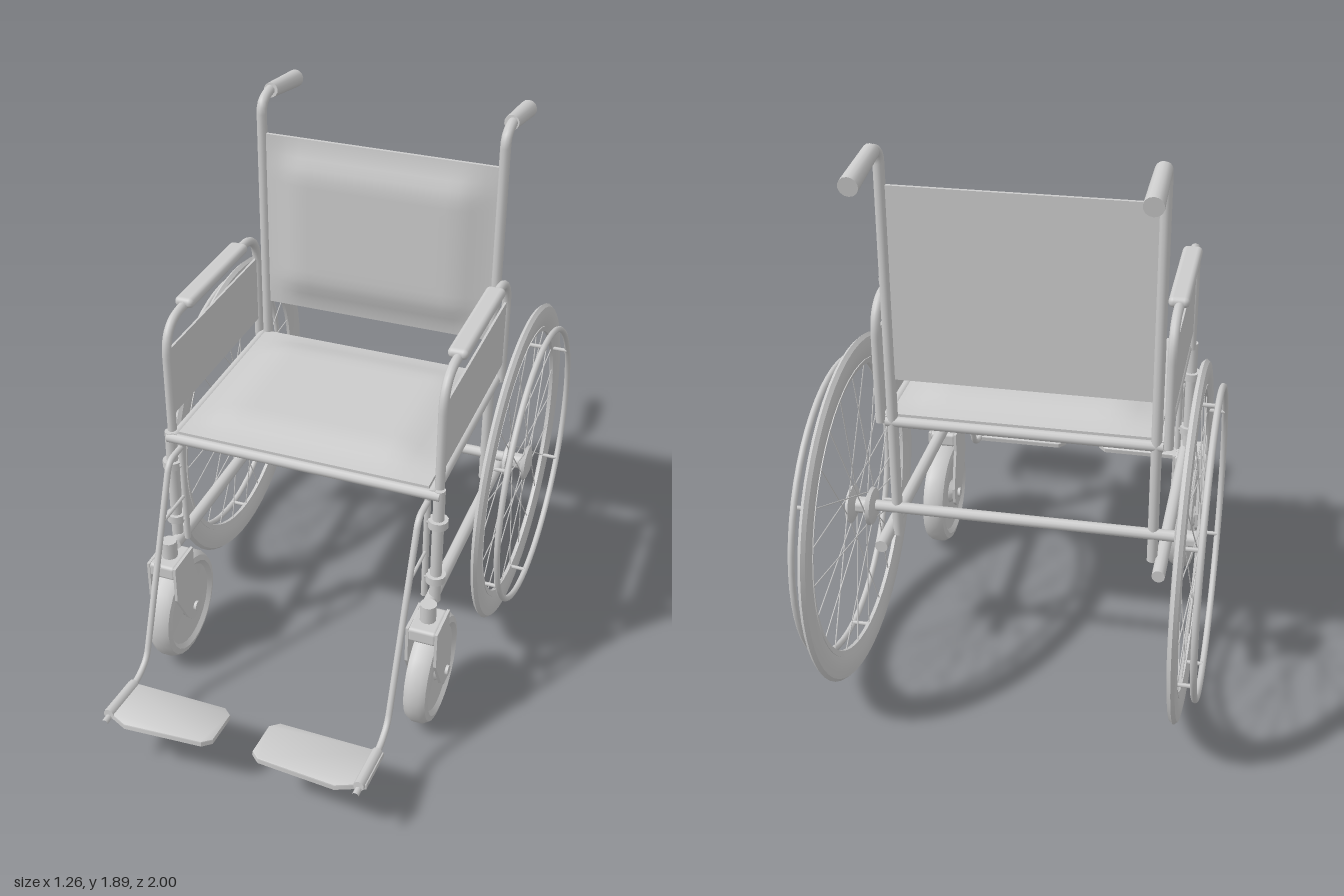
import * as THREE from 'three';
import { RoundedBoxGeometry } from 'three/addons/geometries/RoundedBoxGeometry.js';
import { toCreasedNormals } from 'three/addons/utils/BufferGeometryUtils.js';

const grey = new THREE.MeshStandardMaterial({ color: 0xcccccc });
const V = (x, y, z) => new THREE.Vector3(x, y, z);

function add(parent, name, geometry, x = 0, y = 0, z = 0) {
  const mesh = new THREE.Mesh(geometry, grey);
  mesh.name = name;
  mesh.position.set(x, y, z);
  parent.add(mesh);
  return mesh;
}

// Straight capped rod between two points
function rod(parent, name, a, b, r, sides = 12, rEnd = r) {
  const dir = b.clone().sub(a);
  const mesh = add(parent, name, new THREE.CylinderGeometry(rEnd, r, dir.length(), sides));
  mesh.position.copy(a).addScaledVector(dir, 0.5);
  mesh.quaternion.setFromUnitVectors(V(0, 1, 0), dir.normalize());
  return mesh;
}

// Tube along a polyline of [z, y] points at a fixed x, corners rounded by `bend`
function bentTube(parent, name, x, pts, r, bend, segments = 64) {
  const p = pts.map(([z, y]) => V(x, y, z));
  const path = new THREE.CurvePath();
  let from = p[0];
  for (let i = 1; i < p.length - 1; i++) {
    const a = p[i].clone().add(p[i - 1].clone().sub(p[i]).setLength(bend));
    const b = p[i].clone().add(p[i + 1].clone().sub(p[i]).setLength(bend));
    path.add(new THREE.LineCurve3(from, a));
    path.add(new THREE.QuadraticBezierCurve3(a, p[i], b));
    from = b;
  }
  path.add(new THREE.LineCurve3(from, p[p.length - 1]));
  return add(parent, name, new THREE.TubeGeometry(path, segments, r, 10));
}

// Upholstered panel: thin box whose front face swells inside its border
function cushion(w, h, t, rise, inset) {
  const g = new THREE.BoxGeometry(w, h, t, 20, 20, 1);
  const p = g.attributes.position;
  for (let i = 0; i < p.count; i++) {
    if (p.getZ(i) < 0) continue;
    const dx = THREE.MathUtils.smoothstep(w / 2 - Math.abs(p.getX(i)), 0, inset);
    const dy = THREE.MathUtils.smoothstep(h / 2 - Math.abs(p.getY(i)), 0, inset);
    p.setZ(i, p.getZ(i) + rise * dx * dy);
  }
  g.computeVertexNormals();
  return g;
}

// Revolve [radius, x] points around the x axis
function turned(profile, sides) {
  const g = new THREE.LatheGeometry(profile.map(([r, y]) => new THREE.Vector2(r, y)), sides);
  return toCreasedNormals(g.rotateZ(-Math.PI / 2), 0.7);
}

function driveWheel() {
  const wheel = new THREE.Group();
  wheel.name = 'driveWheel';
  add(wheel, 'tire', turned([[0.505, -0.008], [0.525, -0.014], [0.555, -0.016], [0.58, -0.012], [0.59, 0],
    [0.58, 0.012], [0.555, 0.016], [0.525, 0.014], [0.505, 0.008], [0.505, -0.008]], 56));
  add(wheel, 'rim', turned([[0.488, -0.006], [0.508, -0.012], [0.508, 0.012], [0.488, 0.006], [0.488, -0.006]], 56));
  add(wheel, 'handRim', new THREE.TorusGeometry(0.505, 0.011, 8, 56).rotateY(Math.PI / 2), 0.06);
  for (let i = 0; i < 6; i++) {
    const a = Math.PI / 6 + i * Math.PI / 3, y = 0.497 * Math.sin(a), z = 0.497 * Math.cos(a);
    rod(wheel, 'handRimBracket', V(0, y, z), V(0.06, y, z), 0.007, 6);
  }
  // Hub: two flanges on a narrow barrel
  add(wheel, 'hub', turned([[0, -0.055], [0.035, -0.055], [0.062, -0.047], [0.066, -0.035], [0.05, -0.027], [0.028, -0.02],
    [0.028, 0.012], [0.05, 0.018], [0.066, 0.026], [0.062, 0.036], [0.035, 0.044], [0, 0.044]], 24));
  // Crossed wire spokes, alternating flange and direction
  for (let i = 0; i < 24; i++) {
    const a = i * Math.PI / 12, h = a + (i % 4 < 2 ? 1 : -1) * 1.1;
    const x = i % 2 ? 0.028 : -0.035;
    rod(wheel, 'spoke', V(x, 0.055 * Math.sin(h), 0.055 * Math.cos(h)),
      V(0, 0.492 * Math.sin(a), 0.492 * Math.cos(a)), 0.0022, 5);
  }
  return wheel;
}

function caster() {
  const g = new THREE.Group();
  g.name = 'caster';
  add(g, 'casterTire', turned([[0.15, -0.03], [0.165, -0.043], [0.185, -0.038], [0.197, -0.018], [0.197, 0.018],
    [0.185, 0.038], [0.165, 0.043], [0.15, 0.03]], 24), 0, 0.2, 0.345);
  add(g, 'casterDisc', turned([[0, -0.042], [0.035, -0.042], [0.045, -0.024], [0.155, -0.03],
    [0.155, 0.03], [0.045, 0.024], [0.035, 0.042], [0, 0.042]], 24), 0, 0.2, 0.345);
  rod(g, 'casterAxle', V(-0.065, 0.2, 0.345), V(0.065, 0.2, 0.345), 0.018);
  // Fork: two swept plates under a crown block
  const plate = new THREE.Shape([[0.475, 0.46], [0.335, 0.46], [0.335, 0.39], [0.29, 0.24], [0.295, 0.18], [0.325, 0.15],
    [0.365, 0.15], [0.4, 0.185], [0.475, 0.32]].map(([z, y]) => new THREE.Vector2(-z, y)));
  for (const x of [-0.055, 0.045]) {
    const geo = new THREE.ExtrudeGeometry(plate, { depth: 0.01, bevelEnabled: false }).rotateY(Math.PI / 2);
    add(g, 'forkPlate', geo, x);
  }
  add(g, 'forkCrown', new RoundedBoxGeometry(0.1, 0.055, 0.138, 2, 0.012), 0, 0.433, 0.405);
  rod(g, 'forkStem', V(0, 0.45, 0.405), V(0, 0.525, 0.405), 0.028);
  return g;
}

// Everything on the left (+x) side
function buildSide() {
  const side = new THREE.Group();
  const wheel = driveWheel();
  wheel.position.set(0.56, 0.59, -0.41);
  side.add(wheel);
  const front = caster();
  front.position.x = 0.475;
  side.add(front);

  // Back post and push handle
  bentTube(side, 'backPost', 0.433, [[-0.405, 0.49], [-0.405, 1.84], [-0.475, 1.866], [-0.56, 1.852]], 0.018, 0.035, 80);
  rod(side, 'handGrip', V(0.43, 1.862, -0.48), V(0.43, 1.83, -0.705), 0.026, 14, 0.031);

  // Armrest
  bentTube(side, 'armrestFrame', 0.472, [[0.325, 0.92], [0.325, 1.345], [-0.41, 1.345], [-0.41, 0.92]], 0.016, 0.12, 80);
  add(side, 'armrestPad', new RoundedBoxGeometry(0.068, 0.036, 0.46, 3, 0.017), 0.47, 1.355, -0.035);
  add(side, 'skirtGuard', new THREE.BoxGeometry(0.008, 0.25, 0.735), 0.472, 1.12, -0.043);

  // Lower frame
  rod(side, 'seatRail', V(0.455, 0.925, 0.35), V(0.455, 0.925, -0.41), 0.018);
  rod(side, 'lowerRail', V(0.465, 0.495, 0.38), V(0.465, 0.495, -0.505), 0.022);
  rod(side, 'frontPost', V(0.475, 0.49, 0.335), V(0.475, 0.94, 0.335), 0.02);
  for (const y of [0.585, 0.81]) {
    rod(side, 'collar', V(0.475, y - 0.014, 0.335), V(0.475, y + 0.014, 0.335), 0.034);
    rod(side, 'legrestClamp', V(0.475, y, 0.335), V(0.437, y, 0.335), 0.012);
  }

  // Legrest and footplate
  rod(side, 'legrestPivot', V(0.437, 0.5, 0.335), V(0.437, 0.93, 0.335), 0.011);
  bentTube(side, 'legrestTube', 0.437, [[0.335, 0.885], [0.43, 0.885], [0.69, 0.235], [0.76, 0.2], [0.995, 0.212]], 0.011, 0.035, 80);
  rod(side, 'legrestBrace', V(0.437, 0.685, 0.335), V(0.437, 0.685, 0.51), 0.006, 8);
  const outline = new THREE.Shape([[0.1, 0.79], [0.455, 0.79], [0.455, 0.95], [0.425, 0.96], [0.365, 0.99], [0.1, 0.97], [0.073, 0.945], [0.073, 0.815]]
    .map(([x, z]) => new THREE.Vector2(x, -(z - 0.89))));
  const foot = new THREE.ExtrudeGeometry(outline, { depth: 0.01, bevelSize: 0.004, bevelThickness: 0.006, bevelSegments: 2 });
  const plate = add(side, 'footplate', toCreasedNormals(foot.rotateX(-Math.PI / 2), 0.6), 0, 0.201, 0.89);
  plate.rotation.x = -0.11;
  rod(side, 'footplateHinge', V(0.437, 0.203, 0.79), V(0.437, 0.222, 0.965), 0.018, 10);
  return side;
}

export function createModel() {
  const model = new THREE.Group();
  model.name = 'wheelchair';
  const left = buildSide();
  left.name = 'leftSide';
  const right = left.clone();
  right.name = 'rightSide';
  right.scale.x = -1;
  model.add(left, right);

  // Cross members
  rod(model, 'axle', V(-0.6, 0.595, -0.41), V(0.6, 0.595, -0.41), 0.019);
  rod(model, 'seatFrontBar', V(-0.48, 0.922, 0.345), V(0.48, 0.922, 0.345), 0.018);
  rod(model, 'seatBackBar', V(-0.455, 0.922, -0.405), V(0.455, 0.922, -0.405), 0.018);

  // Upholstery
  const seat = add(model, 'seat', cushion(0.88, 0.74, 0.016, 0.033, 0.16), 0, 0.94, -0.03);
  seat.rotation.x = -Math.PI / 2;
  add(model, 'backrest', cushion(0.836, 0.655, 0.012, 0.034, 0.14), 0, 1.407, -0.404);
  return model;
}
